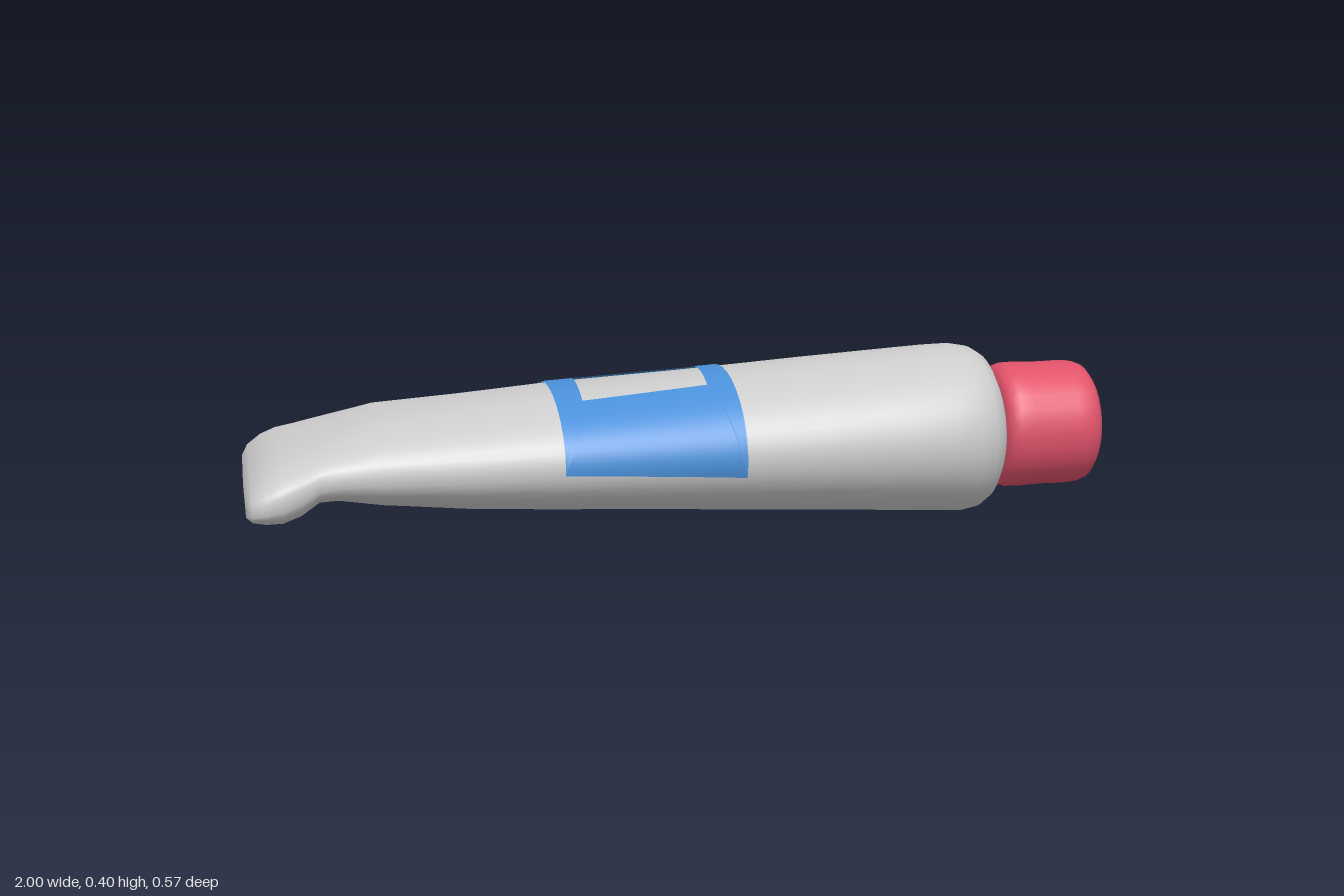
import * as THREE from 'three';

// Tube stations: x, bottom y, top y, half width in z, roundness (1 = ellipse, less = boxier)
const STATIONS = [
  [-1.0, 0.145, 0.145, 0, 0.6],
  [-0.998, 0.12, 0.17, 0.24, 0.6],
  [-0.985, 0.108, 0.195, 0.272, 0.65],
  [-0.955, 0.098, 0.222, 0.284, 0.7],
  [-0.92, 0.095, 0.24, 0.282, 0.72],
  [-0.88, 0.105, 0.252, 0.265, 0.75],
  [-0.84, 0.13, 0.263, 0.25, 0.78],
  [-0.8, 0.128, 0.275, 0.246, 0.82],
  [-0.7, 0.106, 0.302, 0.25, 0.88],
  [-0.5, 0.08, 0.32, 0.248, 0.94],
  [-0.3, 0.065, 0.338, 0.252, 0.97],
  [0.0, 0.045, 0.356, 0.25, 1],
  [0.3, 0.025, 0.376, 0.25, 1],
  [0.5, 0.012, 0.388, 0.248, 1],
  [0.6, 0.005, 0.394, 0.243, 1],
  [0.66, 0.0, 0.396, 0.232, 1],
  [0.7, 0.006, 0.389, 0.214, 1],
  [0.725, 0.022, 0.373, 0.192, 1],
  [0.74, 0.05, 0.343, 0.165, 1],
  [0.746, 0.085, 0.308, 0.125, 1],
  [0.752, 0.197, 0.197, 0, 1],
];
const CENTER_Z = 0.004;

// Point on a station's cross-section; angle 0 faces +z and PI / 2 faces up
function sectionPoint([x, bottom, top, half, power], angle, lift = 0) {
  const bend = (v) => Math.sign(v) * Math.abs(v) ** power;
  const c = Math.cos(angle), s = Math.sin(angle);
  return [
    x,
    (bottom + top) / 2 + ((top - bottom) / 2) * bend(s) + lift * s,
    CENTER_Z + half * bend(c) + lift * c,
  ];
}

function stationAt(x) {
  let i = 1;
  while (i < STATIONS.length - 1 && STATIONS[i][0] < x) i++;
  const a = STATIONS[i - 1], b = STATIONS[i];
  const t = (x - a[0]) / (b[0] - a[0]);
  return a.map((v, k) => v + (b[k] - v) * t);
}

function makeGeometry(positions, index) {
  const geometry = new THREE.BufferGeometry();
  geometry.setAttribute('position', new THREE.Float32BufferAttribute(positions, 3));
  geometry.setIndex(index);
  geometry.computeVertexNormals();
  return geometry;
}

// Squeezed tube, lofted through all stations with a shared seam
function tubeGeometry(sides = 48) {
  const positions = [], index = [];
  STATIONS.forEach((station, i) => {
    for (let j = 0; j < sides; j++) {
      positions.push(...sectionPoint(station, (j / sides) * Math.PI * 2));
      if (i === STATIONS.length - 1) continue;
      const k = (j + 1) % sides;
      const a = i * sides + j, b = a + sides, c = (i + 1) * sides + k, d = i * sides + k;
      index.push(a, b, c, a, c, d);
    }
  });
  return makeGeometry(positions, index);
}

// Frame-shaped label: four mitred strips between outer and inner corners given as [x, angle]
function labelGeometry(outer, inner) {
  const positions = [], index = [], n = 20;
  const mix = (p, q, t) => [p[0] + (q[0] - p[0]) * t, p[1] + (q[1] - p[1]) * t];
  for (let side = 0; side < 4; side++) {
    const next = (side + 1) % 4, base = positions.length / 3;
    for (let i = 0; i <= n; i++) {
      const from = mix(outer[side], outer[next], i / n);
      const to = mix(inner[side], inner[next], i / n);
      for (let j = 0; j <= n; j++) {
        const [x, angle] = mix(from, to, j / n);
        positions.push(...sectionPoint(stationAt(x), angle, 0.004));
        if (i === n || j === n) continue;
        const a = base + i * (n + 1) + j, b = a + n + 1;
        index.push(a, b, b + 1, a, b + 1, a + 1);
      }
    }
  }
  return makeGeometry(positions, index);
}

export function createModel() {
  const material = (name, color, side = THREE.FrontSide) => {
    const m = new THREE.MeshStandardMaterial({ color, side });
    m.name = name;
    return m;
  };
  const grey = material('tube grey', 0xcccccc);
  const blue = material('label blue', 0x4a90d9, THREE.DoubleSide);
  const red = material('cap red', 0xe0526a);

  const group = new THREE.Group();
  group.name = 'squeezeTube';
  const add = (name, geometry, mat) => {
    const mesh = new THREE.Mesh(geometry, mat);
    mesh.name = name;
    group.add(mesh);
    return mesh;
  };

  add('tubeBody', tubeGeometry(), grey);

  // Label wraps over the top, with a slightly crooked window
  const across = (z) => Math.acos((z - CENTER_Z) / 0.251);
  add('label', labelGeometry(
    [[-0.31, -0.06], [0.1, -0.22], [0.1, Math.PI + 0.2], [-0.31, Math.PI + 0.06]],
    [[-0.25, across(0.12)], [0.04, across(0.105)], [0.05, across(-0.105)], [-0.24, across(-0.1)]],
  ), blue);

  // Rounded screw cap
  const profile = [
    [0, 0.75], [0.1, 0.752], [0.125, 0.756], [0.141, 0.766], [0.148, 0.785], [0.149, 0.82],
    [0.147, 0.88], [0.148, 0.93], [0.146, 0.96], [0.138, 0.98], [0.12, 0.993], [0.09, 0.998], [0, 1.0],
  ].map(([r, h]) => new THREE.Vector2(r, h));
  const cap = add('cap', new THREE.LatheGeometry(profile, 28), red);
  cap.rotation.z = -Math.PI / 2;
  cap.position.set(0, 0.198, 0.008);

  return group;
}
